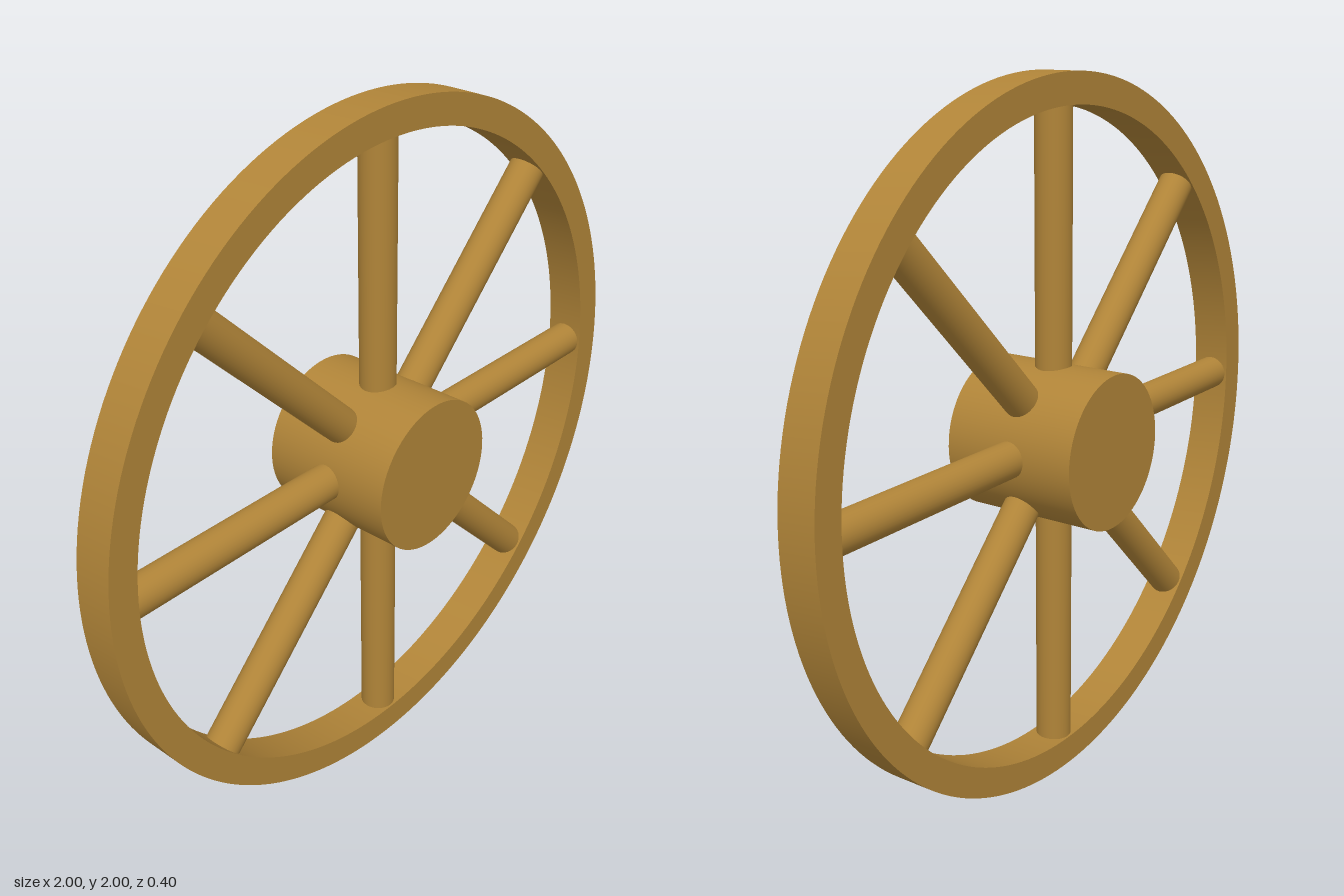
import * as THREE from 'three';
import { toCreasedNormals } from 'three/addons/utils/BufferGeometryUtils.js';

const RIM_OUTER = 1, RIM_INNER = 0.915, RIM_DEPTH = 0.114;
const HUB_RADIUS = 0.218, HUB_LENGTH = 0.4;
const SPOKE_RADIUS = 0.051, SPOKE_COUNT = 8;

export function createModel() {
  const wheel = new THREE.Group();
  wheel.name = 'spokedWheel';
  const wood = new THREE.MeshStandardMaterial({ color: 0xb08438 });

  const add = (name, geometry) => {
    const mesh = new THREE.Mesh(geometry, wood);
    mesh.name = name;
    wheel.add(mesh);
    return mesh;
  };

  // Rim: flat ring with square edges
  const ring = new THREE.Shape().absarc(0, 0, RIM_OUTER, 0, Math.PI * 2, false);
  ring.holes.push(new THREE.Path().absarc(0, 0, RIM_INNER, 0, Math.PI * 2, true));
  const rim = new THREE.ExtrudeGeometry(ring, { depth: RIM_DEPTH, bevelEnabled: false, curveSegments: 96 });
  rim.translate(0, 0, -RIM_DEPTH / 2);
  add('rim', toCreasedNormals(rim, Math.PI / 6));

  // Hub: solid drum along z
  add('hub', new THREE.CylinderGeometry(HUB_RADIUS, HUB_RADIUS, HUB_LENGTH, 64).rotateX(Math.PI / 2));

  // Round spokes, their ends sunk into the hub and rim
  const start = 0.15, end = 0.93;
  const spoke = new THREE.CylinderGeometry(SPOKE_RADIUS, SPOKE_RADIUS, end - start, 32);
  spoke.translate(0, (start + end) / 2, 0);
  for (let i = 0; i < SPOKE_COUNT; i++) {
    add(`spoke${i + 1}`, spoke).rotation.z = (i / SPOKE_COUNT) * Math.PI * 2;
  }

  // Stand the wheel on the ground
  wheel.children.forEach((part) => { part.position.y = RIM_OUTER; });
  return wheel;
}
